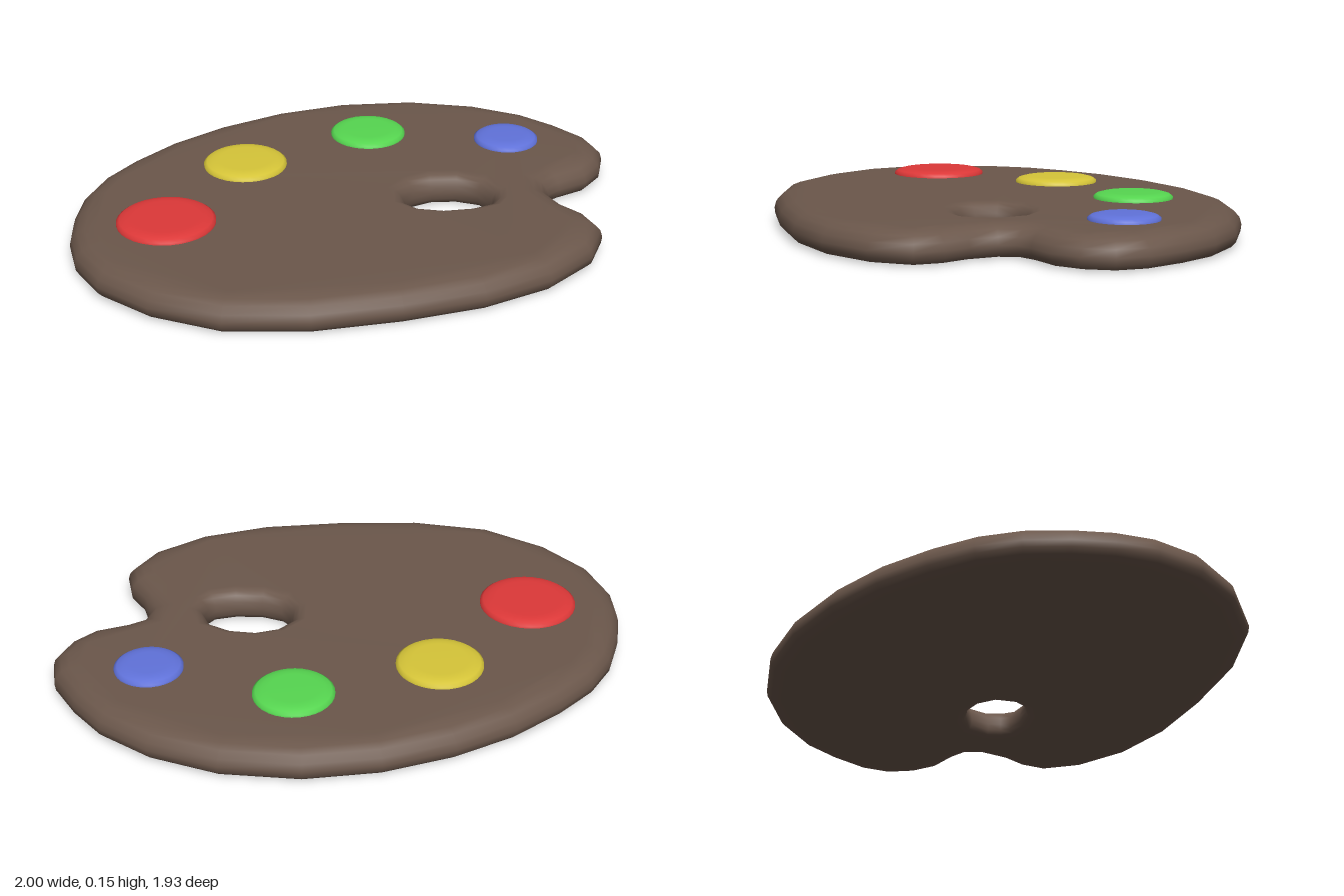
import * as THREE from 'three';

const mat = (name, color) => {
  const m = new THREE.MeshStandardMaterial({ color });
  m.name = name;
  return m;
};

// outlines as [x, z], clockwise seen from above
const EDGE = [
  [0.355, -0.967], [0.575, -0.92], [0.73, -0.84], [0.87, -0.74], [0.938, -0.635], [0.94, -0.515],
  [0.895, -0.405], [0.8, -0.315], [0.76, -0.26], [0.768, -0.195], [0.84, -0.11], [0.93, -0.05],
  [0.997, 0.045], [0.975, 0.215], [0.85, 0.42], [0.64, 0.605], [0.37, 0.76], [0.07, 0.895],
  [-0.235, 0.96], [-0.515, 0.915], [-0.735, 0.81], [-0.87, 0.67], [-0.94, 0.53], [-0.98, 0.38],
  [-1, 0.215], [-0.98, 0.05], [-0.915, -0.125], [-0.81, -0.325], [-0.655, -0.525], [-0.45, -0.715],
  [-0.205, -0.865], [0.08, -0.955],
];
const HOLE = [
  [0.4, -0.2], [0.49, -0.19], [0.55, -0.13], [0.56, -0.08], [0.55, -0.04], [0.485, 0.01],
  [0.39, 0.047], [0.305, 0.05], [0.25, 0.02], [0.22, -0.05], [0.245, -0.12], [0.31, -0.175],
];
// rounded rim section: [distance into the board, height]
const RIM = [[0.07, 0], [0.02, 0.007], [0.003, 0.025], [0, 0.05], [0.008, 0.078], [0.03, 0.102], [0.06, 0.114], [0.1, 0.122]];

// moves an outline along its mitred outward normals
function offset(pts, d) {
  const n = pts.length;
  return pts.map(([x, z], i) => {
    const p = pts[(i + n - 1) % n], q = pts[(i + 1) % n];
    const a = new THREE.Vector2(z - p[1], p[0] - x).normalize();
    const b = new THREE.Vector2(q[1] - z, x - q[0]).normalize();
    const m = a.clone().add(b).normalize();
    const k = d / Math.max(m.dot(a), 0.6);
    return [x + m.x * k, z + m.y * k];
  });
}

function boardGeometry() {
  const pos = [], index = [], starts = [];
  // rim walls, outer edge then thumb hole
  [[EDGE, -1], [HOLE, 0.6]].forEach(([pts, s]) => {
    const n = pts.length, start = pos.length / 3;
    starts.push(start);
    RIM.forEach(([d, y]) => offset(pts, d * s).forEach(([x, z]) => pos.push(x, y, z)));
    for (let k = 0; k < RIM.length - 1; k++) {
      for (let i = 0; i < n; i++) {
        const a = start + k * n + i, b = start + k * n + (i + 1) % n;
        const c = a + n, d = b + n;
        if (s < 0) index.push(a, c, b, b, c, d);
        else index.push(a, b, c, b, d, c);
      }
    }
  });
  // flat faces below and above
  [[0, -1], [RIM.length - 1, 1]].forEach(([k, up]) => {
    const ids = [EDGE, HOLE].map((pts, j) => pts.map((_, i) => starts[j] + k * pts.length + i));
    const loops = ids.map(l => l.map(i => new THREE.Vector2(pos[i * 3], pos[i * 3 + 2])));
    const flatIds = ids.flat(), flat = loops.flat();
    THREE.ShapeUtils.triangulateShape(loops[0], [loops[1]]).forEach(([a, b, c]) => {
      const A = flat[a], B = flat[b], C = flat[c];
      const ny = (B.y - A.y) * (C.x - A.x) - (B.x - A.x) * (C.y - A.y);
      if (ny * up < 0) [b, c] = [c, b];
      index.push(flatIds[a], flatIds[b], flatIds[c]);
    });
  });
  const g = new THREE.BufferGeometry();
  g.setAttribute('position', new THREE.Float32BufferAttribute(pos, 3));
  g.setIndex(index);
  g.computeVertexNormals();
  return g;
}

export function createModel() {
  const group = new THREE.Group();
  group.name = 'paintPalette';

  const board = new THREE.Mesh(boardGeometry(), mat('brown wood', 0x6b574b));
  board.name = 'board';
  group.add(board);

  // low rounded paint blobs: name, colour, x, z, radius
  [
    ['red', 0xdd3838, -0.6, 0.405, 0.187],
    ['yellow', 0xd6c538, -0.44, -0.14, 0.165],
    ['green', 0x56d650, -0.02, -0.53, 0.152],
    ['blue', 0x6072da, 0.545, -0.593, 0.13],
  ].forEach(([name, color, x, z, r]) => {
    const profile = [[r, 0.115], [r, 0.13], [r - 0.012, 0.139], [r - 0.035, 0.145], [r - 0.06, 0.147], [0, 0.147]]
      .map(([a, b]) => new THREE.Vector2(a, b));
    const blob = new THREE.Mesh(new THREE.LatheGeometry(profile, 32), mat(name + ' paint', color));
    blob.name = name + 'Paint';
    blob.position.set(x, 0, z);
    group.add(blob);
  });
  return group;
}
